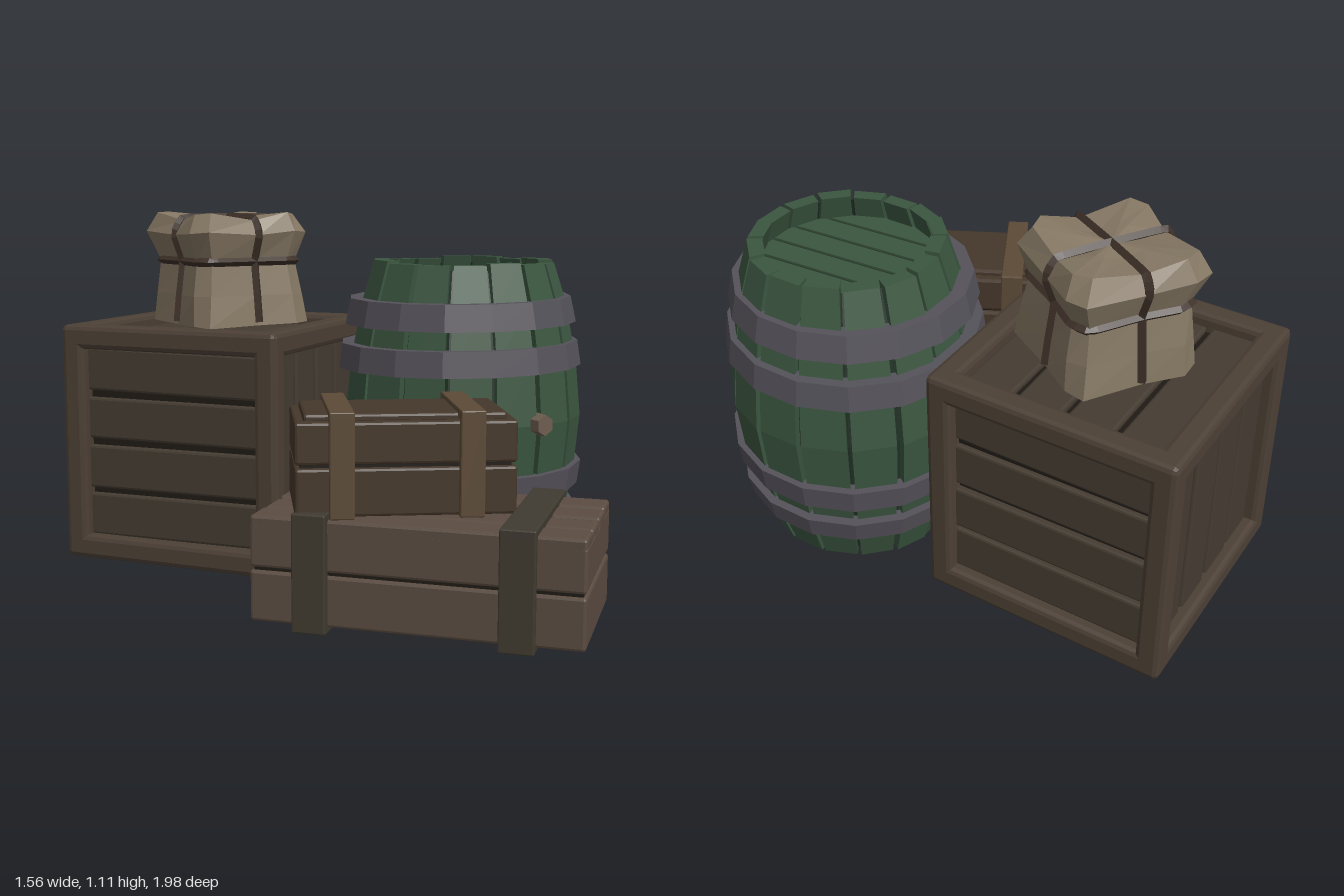
import * as THREE from 'three';
import { RoundedBoxGeometry } from 'three/addons/geometries/RoundedBoxGeometry.js';

const mat = (color) => new THREE.MeshStandardMaterial({ color, flatShading: true, side: THREE.DoubleSide });
const M = {
  crateFrame: mat(0x4c4035), cratePlank: mat(0x453c32), gap: mat(0x1f1a15),
  stave: mat(0x3b5640), staveGap: mat(0x1f3024), band: mat(0x55525a), bung: mat(0x6e5d50),
  longBox: mat(0x5b4c41), longStrap: mat(0x403b31), smallBox: mat(0x45372a), smallStrap: mat(0x5c4a36),
  cloth: mat(0x857763), rope: mat(0x3d3027),
};

let seed = 7;
const jit = (s) => {
  seed = (seed * 16807) % 2147483647;
  return (seed / 2147483647 - 0.5) * 2 * s;
};

function add(parent, name, geo, material, x = 0, y = 0, z = 0) {
  const m = new THREE.Mesh(geo, material);
  m.name = name;
  m.position.set(x, y, z);
  parent.add(m);
  return m;
}
const box = (w, h, d, bevel = 0.008) => new RoundedBoxGeometry(w, h, d, 1, bevel);

function group(parent, name, x, y, z, ry) {
  const g = new THREE.Group();
  g.name = name;
  g.position.set(x, y, z);
  g.rotation.y = ry;
  parent.add(g);
  return g;
}

// Skins a stack of rings (counter-clockwise seen from above), optionally capped
function loft(rings, capped = true) {
  const n = rings[0].length, pos = [];
  const tri = (...pts) => pts.forEach((p) => pos.push(...p));
  for (let k = 0; k < rings.length - 1; k++) {
    for (let i = 0; i < n; i++) {
      const j = (i + 1) % n, a = rings[k], b = rings[k + 1];
      tri(a[i], a[j], b[j]);
      tri(a[i], b[j], b[i]);
    }
  }
  if (capped) {
    const mid = (r) => [0, 1, 2].map((c) => r.reduce((s, p) => s + p[c], 0) / n);
    const lo = rings[0], hi = rings[rings.length - 1];
    for (let i = 0; i < n; i++) {
      const j = (i + 1) % n;
      tri(mid(hi), hi[i], hi[j]);
      tri(mid(lo), lo[j], lo[i]);
    }
  }
  const g = new THREE.BufferGeometry();
  g.setAttribute('position', new THREE.Float32BufferAttribute(pos, 3));
  g.computeVertexNormals();
  return g;
}
const polar = (r, a, y) => [r * Math.cos(a), y, -r * Math.sin(a)];

// Large crate: twelve beams and six recessed plank panels
function largeCrate(root) {
  const S = 0.75, B = 0.075, e = (S - B) / 2;
  const g = group(root, 'largeCrate', -0.26, 0.385, -0.47, Math.PI / 4);
  add(g, 'crateCore', new THREE.BoxGeometry(0.64, 0.64, 0.64), M.gap);
  for (const u of [-e, e]) for (const v of [-e, e]) {
    add(g, 'crateBeam', box(S, B, B, 0.016), M.crateFrame, 0, u, v);
    add(g, 'cratePost', box(B, S, B, 0.016), M.crateFrame, u, 0, v);
    add(g, 'crateBeam', box(B, B, S, 0.016), M.crateFrame, u, v, 0);
  }
  // Each face: x and y rotation, and whether the planks stand upright
  const h = Math.PI / 2;
  const faces = [[0, 0, true], [0, 2 * h, true], [0, h, false], [0, -h, false], [-h, 0, false], [h, 0, true]];
  for (const [rx, ry, upright] of faces) {
    const f = group(g, 'cratePanel', 0, 0, 0, ry);
    f.rotation.x = rx;
    for (let i = 0; i < 4; i++) {
      const c = (i - 1.5) * 0.155, w = 0.137 + jit(0.006);
      const p = add(f, 'cratePlank', upright ? box(w, 0.63, 0.04) : box(0.63, w, 0.04), M.cratePlank,
        upright ? c : 0, upright ? 0 : c, 0.318 + jit(0.003));
      p.rotation.z = jit(0.012);
    }
  }
}

// Barrel: separate bulging staves, recessed plank lids, four hoops and a bung
function barrel(root) {
  const g = group(root, 'barrel', 0.405, 0, -0.035, 0);
  const N = 16, step = (Math.PI * 2) / N;
  const profile = [[0.005, 0.285], [0.12, 0.322], [0.3, 0.358], [0.48, 0.375], [0.66, 0.358], [0.84, 0.322], [0.96, 0.285]];
  for (let i = 0; i < N; i++) {
    const a = i * step, half = step * (0.45 + jit(0.015)), dr = jit(0.004), top = jit(0.006);
    add(g, 'stave', loft(profile.map(([y, r], k) => {
      const yy = y + (k === 6 ? top : 0), o = r + dr;
      return [polar(o, a - half, yy), polar(o, a + half, yy), polar(o - 0.045, a + half, yy), polar(o - 0.045, a - half, yy)];
    })), M.stave);
  }
  const ring = (r, y) => Array.from({ length: N }, (_, i) => polar(r, (i + 0.5) * step, y));
  add(g, 'staveLining', loft(profile.map(([y, r]) => ring(r - 0.022, Math.min(Math.max(y, 0.02), 0.94))), false), M.staveGap);

  for (const [y0, y1, r0, r1] of [[0.125, 0.195, 0.35, 0.367], [0.255, 0.33, 0.376, 0.387],
    [0.632, 0.71, 0.387, 0.376], [0.77, 0.85, 0.367, 0.35]]) {
    const m = add(g, 'hoop', loft([ring(r0 - 0.045, y0), ring(r0, y0), ring(r1, y1), ring(r1 - 0.045, y1)], false), M.band);
    m.rotation.set(jit(0.006), 0, 0.015);
  }

  // Lid planks are strips of a disc
  for (const y of [0.075, 0.86]) {
    const lid = group(g, 'barrelLid', 0, y, 0, 0.85);
    add(lid, 'lidBacking', new THREE.CylinderGeometry(0.26, 0.26, 0.012, N), M.staveGap, 0, 0.012, 0);
    const R = 0.268, W = (2 * R) / 6;
    for (let i = 0; i < 6; i++) {
      const x0 = -R + i * W + 0.006, x1 = x0 + W - 0.012;
      const xs = [x0, (x0 + x1) / 2, x1], z = (x) => Math.sqrt(R * R - x * x);
      const outline = (h) => [...xs.map((x) => [x, h, z(x)]), ...xs.slice().reverse().map((x) => [x, h, -z(x)])];
      add(lid, 'lidPlank', loft([outline(0), outline(0.024)]), M.stave);
    }
  }
  const bung = add(g, 'bung', new THREE.CylinderGeometry(0.032, 0.036, 0.06, 6), M.bung, 0.075, 0.485, 0.365);
  bung.rotation.set(Math.PI / 2, 0, -0.2);
}

// Rectangular strap running around a box, seen along its x axis
function strap(g, x, w, y0, y1, depth, t, material) {
  const h = y1 - y0, yc = (y0 + y1) / 2;
  for (const s of [-1, 1]) {
    add(g, 'strapBoard', box(w, t, depth, 0.004), material, x, yc + s * (h - t) / 2, 0);
    add(g, 'strapSide', box(w, h - 0.006, t, 0.004), material, x, yc, s * (depth - t) / 2);
  }
}

// Long low box: two plank courses, four top boards, two straps
function longBox(root) {
  const g = group(root, 'longBox', 0.04, 0, 0.52, -0.69);
  add(g, 'longBoxCore', new THREE.BoxGeometry(0.89, 0.26, 0.45), M.gap, 0, 0.16, 0);
  add(g, 'longBoxLowerPlanks', box(0.91, 0.142, 0.47), M.longBox, 0, 0.086, 0);
  add(g, 'longBoxUpperPlanks', box(0.91, 0.122, 0.47), M.longBox, 0, 0.227, 0);
  for (let i = 0; i < 4; i++) {
    add(g, 'longBoxTopPlank', box(0.91 + jit(0.004), 0.045, 0.106), M.longBox, 0, 0.287 + jit(0.003), (i - 1.5) * 0.1213);
  }
  for (const x of [-0.28, 0.28]) strap(g, x, 0.095, 0, 0.328, 0.52, 0.028, M.longStrap);
}

// Small box resting on the long one
function smallBox(root) {
  const g = group(root, 'smallBox', -0.03, 0, 0.445, -0.305);
  add(g, 'smallBoxCore', new THREE.BoxGeometry(0.57, 0.24, 0.29), M.gap, 0, 0.44, 0);
  add(g, 'smallBoxLowerPlanks', box(0.6, 0.132, 0.32), M.smallBox, 0, 0.379, 0);
  add(g, 'smallBoxUpperPlanks', box(0.6, 0.115, 0.32), M.smallBox, 0, 0.512, 0);
  add(g, 'smallBoxLid', box(0.55, 0.025, 0.26), M.smallBox, 0, 0.575, 0);
  for (const x of [-0.175, 0.175]) strap(g, x, 0.068, 0.31, 0.6, 0.365, 0.025, M.smallStrap);
}

// Cloth parcel: pinched waist, flared top and crossed ropes
function parcel(root) {
  const g = group(root, 'parcel', -0.245, 0, -0.445, 0.24);
  const quarter = [[0.92, 0], [1, 0.62], [0.86, 0.9]];
  const section = (a, y, dip, wob) => {
    const pts = [];
    for (let q = 0; q < 4; q++) {
      const c = Math.cos(q * Math.PI / 2), s = Math.sin(q * Math.PI / 2);
      quarter.forEach(([u, v], k) => {
        const r = a * (k ? 1 + jit(wob) : 1);
        pts.push([(u * c - v * s) * r, y - (k ? 0 : dip) + (k ? jit(wob * 0.1) : 0), -(u * s + v * c) * r]);
      });
    }
    return pts;
  };
  add(g, 'parcelCloth', loft([section(0.205, 0.755, 0, 0.03), section(0.194, 0.85, 0, 0.03), section(0.178, 0.957, 0, 0.01),
    section(0.212, 1.05, 0.01, 0.05), section(0.18, 1.108, 0.022, 0.04), section(0.08, 1.1, 0.015, 0.02)]), M.cloth);
  const ropeLoop = (name, pts, closed) => {
    const curve = new THREE.CatmullRomCurve3(pts.map((p) => new THREE.Vector3(...p)), closed, 'catmullrom', 0.15);
    return add(g, name, new THREE.TubeGeometry(curve, 48, 0.014, 4, closed), M.rope);
  };
  ropeLoop('waistRope', section(0.181, 0.957, 0, 0), true);
  const side = [[0.19, 0.765], [0.18, 0.85], [0.166, 0.957], [0.195, 1.04], [0.168, 1.09]];
  const over = [...side, [0, 1.094], ...side.slice().reverse().map(([u, y]) => [-u, y])];
  ropeLoop('lengthRope', over.map(([u, y]) => [u, y, 0]), false);
  ropeLoop('crossRope', over.map(([u, y]) => [0, y, u]), false);
}

export function createModel() {
  const root = new THREE.Group();
  root.name = 'cargoPile';
  [largeCrate, barrel, longBox, smallBox, parcel].forEach((build) => build(root));
  return root;
}
